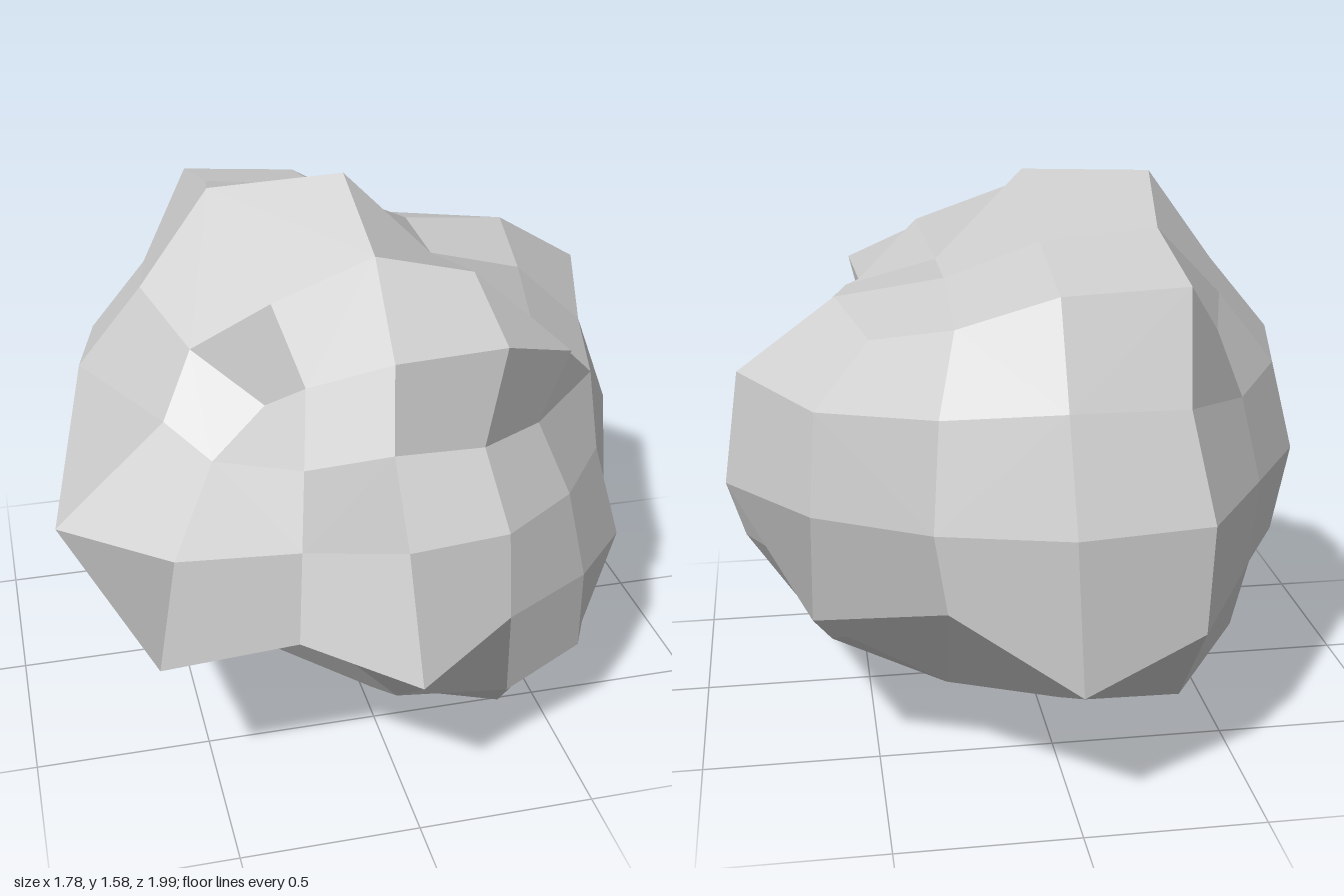
import * as THREE from 'three';

// Radius of the stone along each direction of a 5 x 5 x 5 cube shell.
// One grid per level; rows run back to front, columns from -x to +x; 0 = inside, unused.
const LEVELS = {
  bottom: [
    [0.97, 1.08, 1.00, 0.98, 0.91],
    [0.91, 0.87, 0.76, 0.83, 0.98],
    [0.79, 0.79, 0.87, 0.99, 0.99],
    [0.77, 0.80, 0.93, 1.12, 1.06],
    [0.72, 0.70, 0.91, 1.00, 1.02]],
  lower: [
    [0.90, 1.06, 1.19, 0.91, 1.07],
    [0.88, 0, 0, 0, 0.91],
    [0.84, 0, 0, 0, 0.99],
    [0.88, 0, 0, 0, 0.94],
    [1.05, 0.84, 0.98, 0.85, 0.885]],
  middle: [
    [0.87, 1.01, 0.98, 0.965, 1.00],
    [0.87, 0, 0, 0, 1.03],
    [0.81, 0, 0, 0, 0.88],
    [1.02, 0, 0, 0, 0.79],
    [0.90, 0.73, 0.74, 0.77, 0.77]],
  upper: [
    [0.85, 0.95, 0.91, 0.97, 1.03],
    [0.86, 0, 0, 0, 1.05],
    [0.88, 0, 0, 0, 0.84],
    [0.70, 0, 0, 0, 0.81],
    [0.75, 0.74, 0.63, 0.70, 0.70]],
  top: [
    [0.87, 1.08, 0.98, 0.83, 0.90],
    [0.85, 0.96, 0.85, 0.76, 0.91],
    [0.87, 1.03, 0.963, 0.70, 0.79],
    [0.77, 0.77, 0.90, 0.84, 0.76],
    [0.54, 0.65, 0.80, 0.916, 0.91]],
};
const RADII = [LEVELS.bottom, LEVELS.lower, LEVELS.middle, LEVELS.upper, LEVELS.top];
const STRETCH = new THREE.Vector3(0.945, 0.82, 1);
const CENTRE = new THREE.Vector3(0, 0.79, 0.1);

// Direction of a shell point (-2..2 per axis); half steps open wider along the cube's edges
function direction(cell) {
  const onEdge = cell.filter((v) => Math.abs(v) === 2).length === 2;
  const step = [0, onEdge ? 0.504 : 0.428, 1];
  return new THREE.Vector3(...cell.map((v) => Math.sign(v) * step[Math.abs(v)])).normalize();
}

// Gridded cube pushed out to the lumpy stone; halfway marks points on a half step of one axis only
function stonePoints(box) {
  const pos = box.attributes.position;
  return Array.from({ length: pos.count }, (_, n) => {
    const cell = [pos.getX(n), pos.getY(n), pos.getZ(n)].map(Math.round);
    const [x, y, z] = cell;
    const point = direction(cell)
      .multiply(STRETCH)
      .multiplyScalar(RADII[y + 2][z + 2][x + 2])
      .add(CENTRE);
    return { point, halfway: cell.filter((v) => v % 2 !== 0).length === 1 };
  });
}

// Flat four-sided facets, each folded between its two halfway corners
function facetGeometry(box) {
  const points = stonePoints(box);
  const index = box.index.array;
  const positions = [];
  const normals = [];
  for (let n = 0; n < index.length; n += 6) {
    const quad = [index[n], index[n + 1], index[n + 4], index[n + 2]].map((i) => points[i]);
    const [a, b, c, d] = quad.map((corner) => corner.point);
    const normal = c.clone().sub(a).cross(d.clone().sub(b)).normalize();
    const corners = quad[0].halfway ? [a, b, c, a, c, d] : [a, b, d, b, c, d];
    for (const p of corners) {
      positions.push(p.x, p.y, p.z);
      normals.push(normal.x, normal.y, normal.z);
    }
  }
  const geometry = new THREE.BufferGeometry();
  geometry.setAttribute('position', new THREE.Float32BufferAttribute(positions, 3));
  geometry.setAttribute('normal', new THREE.Float32BufferAttribute(normals, 3));
  return geometry;
}

export function createModel() {
  const group = new THREE.Group();
  group.name = 'rock';

  const stone = new THREE.Mesh(
    facetGeometry(new THREE.BoxGeometry(4, 4, 4, 4, 4, 4)),
    new THREE.MeshStandardMaterial({ color: 0xcccccc }));
  stone.name = 'stone';
  group.add(stone);
  return group;
}
